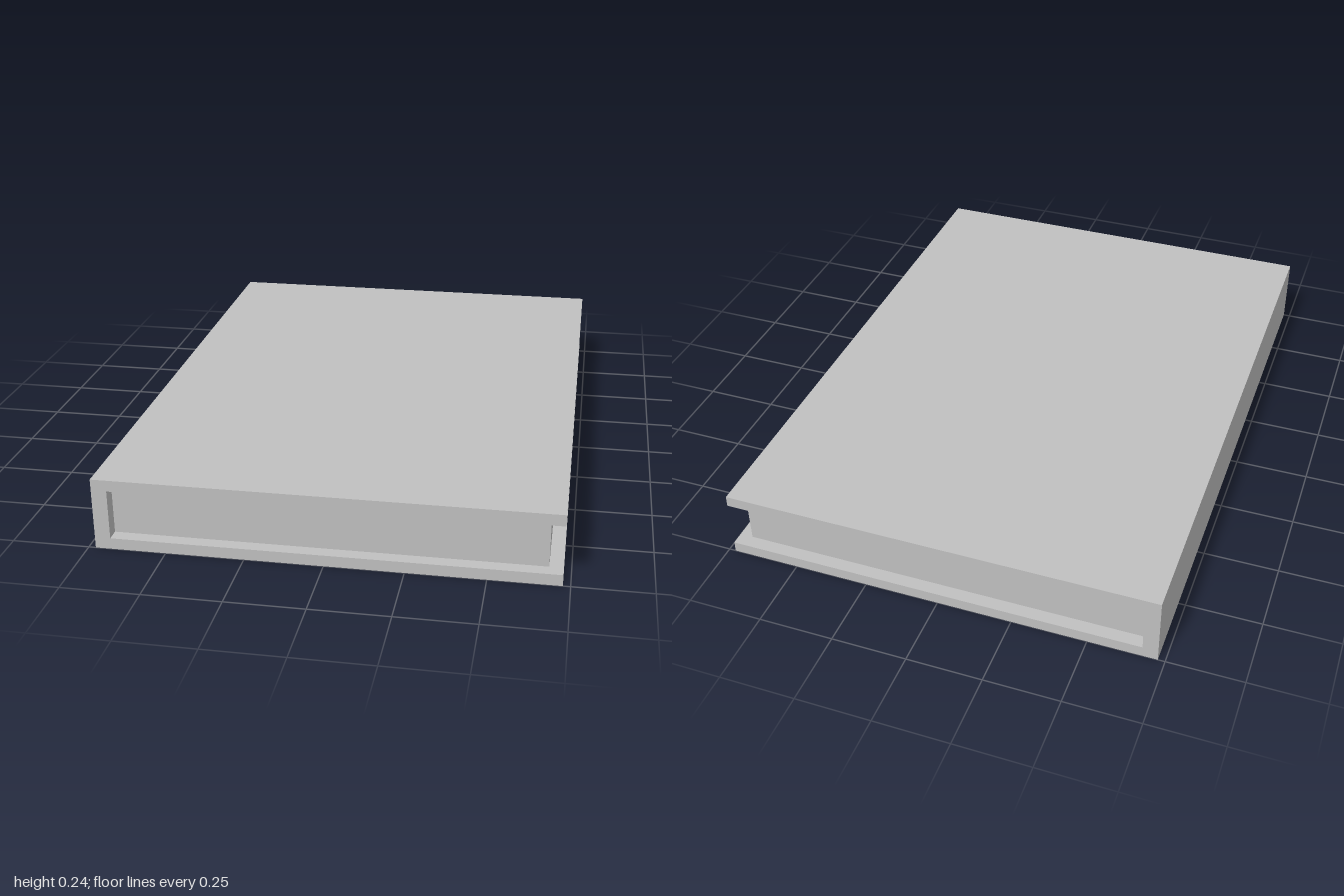
import * as THREE from 'three';

const W = 0.727, H = 0.237, D = 1; // half width, height, half depth
const COVER = 0.037, SPINE = 0.05, INSET = 0.044;

export function createModel() {
  const model = new THREE.Group();
  model.name = 'closedBook';
  const grey = new THREE.MeshStandardMaterial({ color: 0xc0c0c0 });
  grey.name = 'plainGrey';

  // Binding: one C-shaped section of two covers and the spine, open at +x
  const section = new THREE.Shape([
    [-W, 0], [W, 0], [W, COVER], [-W + SPINE, COVER],
    [-W + SPINE, H - COVER], [W, H - COVER], [W, H], [-W, H],
  ].map(([x, y]) => new THREE.Vector2(x, y)));
  const bindingGeometry = new THREE.ExtrudeGeometry(section, { depth: 2 * D, bevelEnabled: false });
  bindingGeometry.translate(0, 0, -D);
  const binding = new THREE.Mesh(bindingGeometry, grey);
  binding.name = 'coversAndSpine';
  model.add(binding);

  // Page block, set back from the three open edges
  const left = -W + SPINE, right = W - INSET;
  const pages = new THREE.Mesh(
    new THREE.BoxGeometry(right - left, H - 2 * COVER, 2 * (D - INSET)), grey);
  pages.position.set((left + right) / 2, H / 2, 0);
  pages.name = 'pageBlock';
  model.add(pages);

  return model;
}
